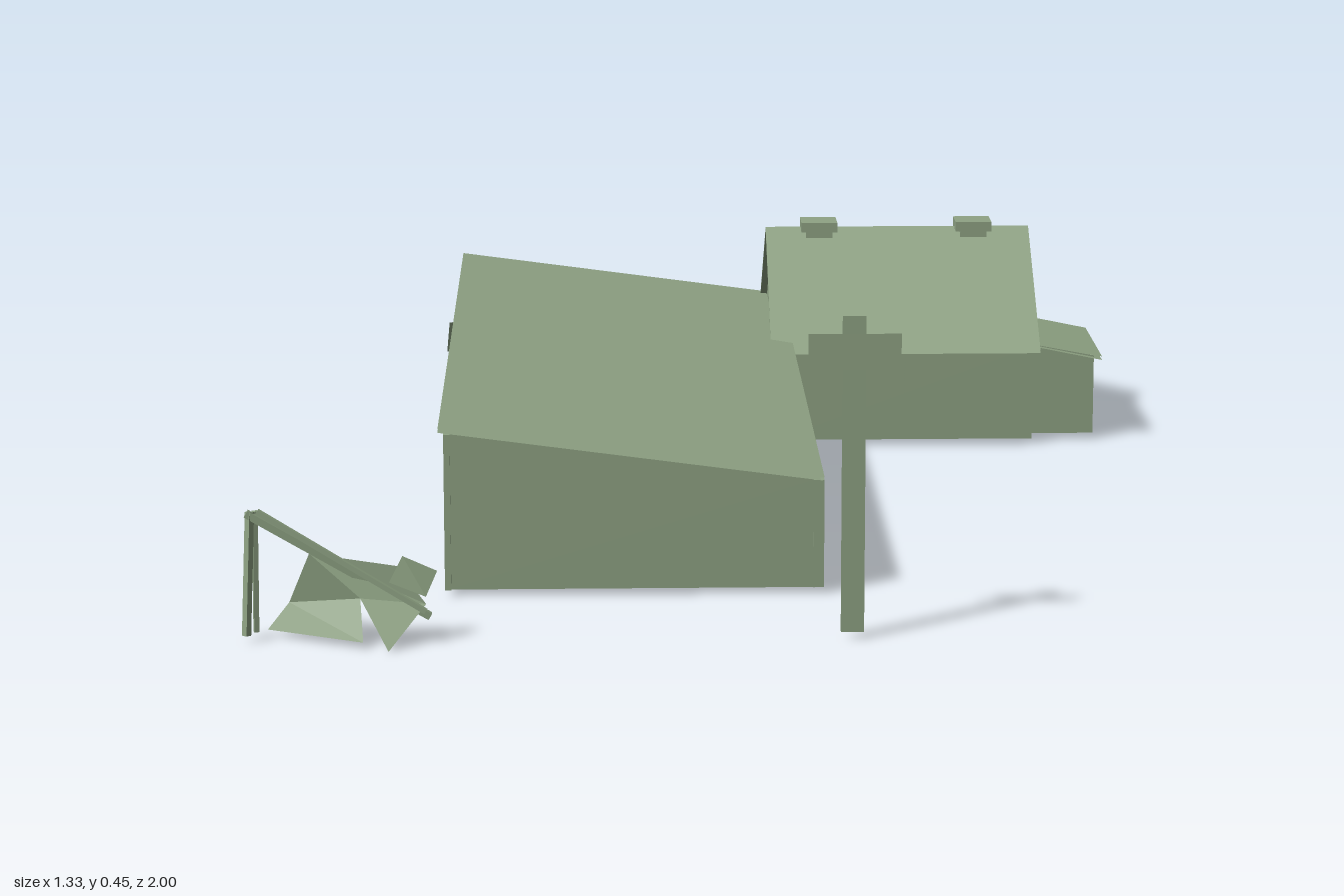
import * as THREE from 'three';

export function createModel() {
  const root = new THREE.Group();
  const mat = new THREE.MeshStandardMaterial({ color: 0x8fa384, flatShading: true, side: THREE.DoubleSide });

  const add = (parent, name, geo) => {
    const m = new THREE.Mesh(geo, mat);
    m.name = name;
    parent.add(m);
    return m;
  };
  const group = (name) => {
    const g = new THREE.Group();
    g.name = name;
    root.add(g);
    return g;
  };
  // Box given by its extents
  const box = (parent, name, x0, x1, y0, y1, z0, z1) =>
    add(parent, name, new THREE.BoxGeometry(x1 - x0, y1 - y0, z1 - z0))
      .position.set((x0 + x1) / 2, (y0 + y1) / 2, (z0 + z1) / 2);
  // Thin flat sheet from the corners of a convex outline
  const sheet = (parent, name, ...pts) => {
    const pos = [];
    for (let i = 1; i < pts.length - 1; i++) pos.push(...pts[0], ...pts[i], ...pts[i + 1]);
    const g = new THREE.BufferGeometry();
    g.setAttribute('position', new THREE.Float32BufferAttribute(pos, 3));
    g.computeVertexNormals();
    add(parent, name, g);
  };
  // Square bar between two points
  const bar = (parent, name, a, b, w) => {
    const va = new THREE.Vector3(...a), vb = new THREE.Vector3(...b);
    const m = add(parent, name, new THREE.BoxGeometry(w, w, va.distanceTo(vb)));
    m.position.copy(va).add(vb).multiplyScalar(0.5);
    m.lookAt(vb);
  };

  const G = 0.012; // foot of the walls

  // ---- Long barn with a single-pitch roof ----
  const barn = group('barn');
  const roofY = (x) => 0.248 - (x + 0.4) * 0.134;
  const xL = -0.387, xR = 0.139, zF = 0.712, zB = -0.615;
  for (const [name, d] of [['barnRoof', 0], ['barnRoofUnderside', 0.005]])
    sheet(barn, name, [-0.4, roofY(-0.4) - d, 0.716], [0.15, roofY(0.15) - d, 0.716],
      [0.15, roofY(0.15) - d, -0.637], [-0.4, roofY(-0.4) - d, -0.637]);
  // Slanted-top wall running across the barn
  const crossWall = (name, x0, x1, z, y0 = G) =>
    sheet(barn, name, [x0, y0, z], [x1, y0, z], [x1, roofY(x1) - 0.005, z], [x0, roofY(x0) - 0.005, z]);
  crossWall('barnFrontWall', xL, xR, zF);
  crossWall('barnBackWall', xL, -0.03, zB);
  crossWall('barnBackWall', 0.02, xR, zB);
  crossWall('barnBackLintel', -0.03, 0.02, zB, 0.14);
  box(barn, 'barnBackPost', -0.04, -0.03, G, 0.18, zB - 0.015, zB);
  sheet(barn, 'barnLeftWall', [xL, G, zB], [xL, G, zF], [xL, roofY(xL) - 0.005, zF], [xL, roofY(xL) - 0.005, zB]);
  box(barn, 'cornerPost', xR - 0.004, 0.15, G, 0.17, 0.7, 0.714);

  // Stall partitions and outside posts
  const bays = 6;
  for (let i = 0; i <= bays; i++) {
    const z = zB + (zF - zB) * i / bays;
    box(barn, 'sidePost', xL - 0.005, xL + 0.004, G, roofY(xL) - 0.006, z - 0.005, z + 0.005);
    if (i > 0 && i < bays) crossWall('stallPartition', xL, xR - 0.006, z);
  }
  for (const x of [-0.2, -0.02])
    sheet(barn, 'lengthPartition', [x, G, zB], [x, G, zF], [x, roofY(x) - 0.005, zF], [x, roofY(x) - 0.005, zB]);

  // Right wall with three doorways
  const edges = [zF, 0.59, 0.49, 0.27, 0, -0.12, -0.21, zB];
  for (let i = 0; i < edges.length - 1; i++)
    box(barn, i % 2 ? 'doorLintel' : 'barnRightWall', xR - 0.006, xR, i % 2 ? 0.11 : G, 0.17, edges[i + 1], edges[i]);
  for (const z of edges.slice(1, 7))
    box(barn, 'doorJamb', xR - 0.015, xR + 0.006, G, 0.115, z - 0.004, z + 0.004);

  // ---- Gabled house ----
  const house = group('house');
  const hx0 = 0.125, hx1 = 0.545, hzF = -0.212, hzB = -0.63, ridgeZ = -0.425, ridgeY = 0.33;
  const rx0 = 0.114, rx1 = 0.556;
  // Roof slab with closed ends
  const slope = (name, zA, yA, zC, yC, t) => {
    for (const d of [0, t])
      sheet(house, name, [rx0, yA - d, zA], [rx1, yA - d, zA], [rx1, yC - d, zC], [rx0, yC - d, zC]);
    for (const x of [rx0, rx1])
      sheet(house, name + 'End', [x, yA, zA], [x, yC, zC], [x, yC - t, zC], [x, yA - t, zA]);
  };
  slope('houseFrontRoof', -0.2, 0.163, ridgeZ, ridgeY, 0.005);
  slope('houseBackRoof', ridgeZ, ridgeY, -0.638, 0.168, 0.005);
  slope('porchRoof', -0.638, 0.168, -0.832, 0.132, 0.01);
  for (const x of [hx0, hx1])
    sheet(house, 'gableWall', [x, G, hzF], [x, 0.167, hzF], [x, ridgeY - 0.006, ridgeZ], [x, 0.168, hzB], [x, G, hzB]);
  box(house, 'houseFrontWall', hx0, hx1, G, 0.167, hzF - 0.004, hzF);
  box(house, 'houseBackWall', hx0, 0.25, G, 0.167, hzB, hzB + 0.005);
  box(house, 'houseBackWall', 0.3, hx1, G, 0.167, hzB, hzB + 0.005);
  box(house, 'houseBackLintel', 0.25, 0.3, 0.13, 0.167, hzB, hzB + 0.005);
  box(house, 'roomPartition', 0.33, 0.335, G, 0.165, hzB, hzF);
  box(house, 'roomPartition', hx0, hx1, G, 0.165, -0.43, -0.425);
  box(house, 'houseFloor', 0.26, 0.54, G, 0.022, -0.725, -0.42);
  box(house, 'doorStep', hx1, 0.588, G, 0.04, -0.595, -0.54);

  // Porch back screens and posts
  box(house, 'porchScreen', 0.13, 0.31, G, 0.128, -0.803, -0.798);
  box(house, 'porchScreen', 0.335, 0.535, G, 0.128, -0.803, -0.798);
  for (const x of [0.122, 0.31, 0.33, 0.535])
    box(house, 'porchPost', x, x + 0.01, G, 0.13, -0.828, -0.788);

  // Chimneys
  for (const x of [0.203, 0.462]) {
    box(house, 'chimney', x - 0.022, x + 0.022, 0.3, 0.325, -0.448, -0.404);
    box(house, 'chimneyCap', x - 0.03, x + 0.03, 0.325, 0.341, -0.455, -0.398);
  }

  // ---- Lean-to on the house side ----
  const lean = group('leanTo');
  for (const d of [0, 0.006])
    sheet(lean, 'leanToRoof', [0.55, 0.167 - d, -0.237], [0.662, 0.144 - d, -0.237],
      [0.662, 0.144 - d, -0.472], [0.55, 0.167 - d, -0.472]);
  for (const z of [-0.25, -0.455])
    sheet(lean, 'leanToSideWall', [hx1, G, z], [0.65, G, z], [0.65, 0.143, z], [hx1, 0.163, z]);
  box(lean, 'leanToEndWall', 0.645, 0.65, G, 0.142, -0.455, -0.25);

  // ---- Sign post made of thin boards ----
  const sign = group('signPost');
  for (const z of [0.945, 0.951])
    sheet(sign, 'post', [0.16, G, z], [0.192, G, z], [0.192, 0.455, z], [0.16, 0.455, z]);
  sheet(sign, 'crossBoard', [0.113, 0.382, 0.953], [0.24, 0.382, 0.953], [0.24, 0.432, 0.953], [0.113, 0.432, 0.953]);

  // ---- Collapsed shelter ----
  const wreck = group('collapsedShelter');
  bar(wreck, 'upright', [-0.657, G, 0.945], [-0.65, 0.185, 0.937], 0.009);
  bar(wreck, 'upright', [-0.645, G, 0.925], [-0.643, 0.185, 0.932], 0.007);
  bar(wreck, 'fallenBeam', [-0.655, 0.183, 0.938], [-0.405, 0.035, 0.935], 0.01);
  bar(wreck, 'fallenBeam', [-0.64, 0.185, 0.935], [-0.41, 0.05, 0.965], 0.007);
  const peak = [-0.57, 0.125, 0.935], fold = [-0.5, 0.065, 0.95];
  sheet(wreck, 'canvas', peak, [-0.6, 0.05, 0.912], fold);
  sheet(wreck, 'canvas', [-0.6, 0.05, 0.912], [-0.63, G, 0.915], [-0.495, G, 0.985], fold);
  sheet(wreck, 'canvas', peak, fold, [-0.41, 0.055, 0.945], [-0.45, 0.108, 0.94]);
  sheet(wreck, 'canvas', fold, [-0.46, 0.003, 1], [-0.41, 0.055, 0.945]);
  sheet(wreck, 'loosePanel', [-0.442, 0.122, 0.94], [-0.395, 0.098, 0.93], [-0.41, 0.068, 0.955], [-0.46, 0.09, 0.96]);

  // ---- Loose boards behind the barn ----
  const boards = group('looseBoards');
  sheet(boards, 'lowBoard', [-0.36, G, -0.992], [-0.44, G, -0.93], [-0.435, 0.066, -0.926], [-0.355, 0.066, -0.988]);
  sheet(boards, 'tallBoard', [-0.35, G, -1], [-0.24, G, -1], [-0.24, 0.115, -0.975], [-0.31, 0.11, -0.976], [-0.345, 0.07, -0.986]);

  return root;
}
